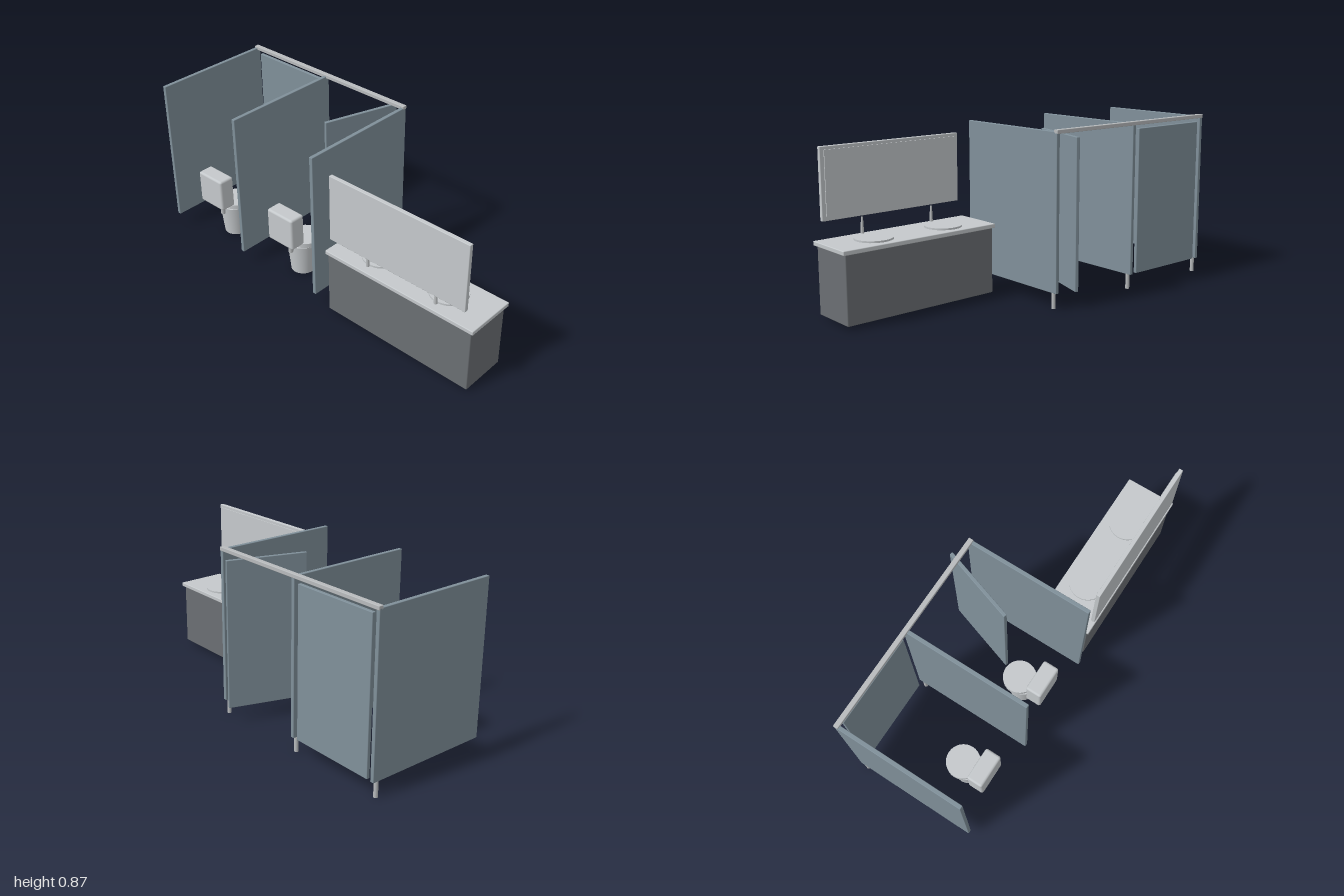
import * as THREE from 'three';
import { RoundedBoxGeometry } from 'three/addons/geometries/RoundedBoxGeometry.js';

const material = (name, color) => {
  const m = new THREE.MeshStandardMaterial({ color });
  m.name = name;
  return m;
};

export function createModel() {
  const root = new THREE.Group();
  root.name = 'restroom';
  const panel = material('blue grey panel', 0x80909a);
  const light = material('light grey', 0xc5c9cc);
  const metal = material('metal grey', 0xb8bbbd);
  const dark = material('dark grey cabinet', 0x6b6f73);

  const add = (parent, name, geometry, mat, x, y, z) => {
    const mesh = new THREE.Mesh(geometry, mat);
    mesh.name = name;
    mesh.position.set(x, y, z);
    parent.add(mesh);
    return mesh;
  };
  // Softly bevelled box given by its limits on each axis
  const box = (parent, name, mat, [x0, x1], [y0, y1], [z0, z1], bevel = 0.003) =>
    add(parent, name, new RoundedBoxGeometry(x1 - x0, y1 - y0, z1 - z0, 2, bevel), mat,
      (x0 + x1) / 2, (y0 + y1) / 2, (z0 + z1) / 2);
  // Upright round part given by its radii and height limits
  const round = (parent, name, mat, rTop, rBottom, [y0, y1], x, z, sides = 32) =>
    add(parent, name, new THREE.CylinderGeometry(rTop, rBottom, y1 - y0, sides), mat,
      x, (y0 + y1) / 2, z);

  // Stall partitions, each on a short leg
  const stalls = new THREE.Group();
  stalls.name = 'stalls';
  root.add(stalls);
  for (const x of [-0.99, -0.465, 0.06]) {
    box(stalls, 'partition', panel, [x - 0.01, x + 0.01], [0.078, 0.863], [-0.309, 0.354]);
    round(stalls, 'partitionLeg', metal, 0.0105, 0.0105, [0, 0.08], x, -0.282, 16);
  }
  box(stalls, 'topRail', metal, [-1, 0.07], [0.853, 0.873], [-0.313, -0.288]);

  // One closed door and one standing open
  box(stalls, 'closedDoor', panel, [-0.96, -0.5], [0.08, 0.835], [-0.309, -0.291]);
  const openDoor = box(stalls, 'openDoor', panel, [-0.2945, 0.1105], [0.08, 0.835], [-0.167, -0.149]);
  openDoor.rotation.y = THREE.MathUtils.degToRad(72);

  // Toilets
  for (const x of [-0.729, -0.205]) {
    const toilet = new THREE.Group();
    toilet.name = 'toilet';
    toilet.position.x = x;
    root.add(toilet);
    round(toilet, 'bowl', light, 0.08, 0.064, [0.006, 0.178], 0, 0.165);
    round(toilet, 'seat', light, 0.087, 0.087, [0.172, 0.202], 0, 0.147);
    round(toilet, 'flushPipe', metal, 0.012, 0.012, [0.148, 0.24], 0, 0.251, 16);
    box(toilet, 'tank', light, [-0.087, 0.087], [0.232, 0.41], [0.236, 0.322], 0.012);
  }

  // Washstand
  const washstand = new THREE.Group();
  washstand.name = 'washstand';
  root.add(washstand);
  box(washstand, 'cabinet', dark, [0.14, 0.985], [0.016, 0.352], [0.084, 0.332], 0.005);
  box(washstand, 'countertop', light, [0.13, 1], [0.351, 0.373], [0.073, 0.343], 0.004);
  for (const x of [0.361, 0.762]) {
    round(washstand, 'basin', light, 0.094, 0.094, [0.37, 0.382], x, 0.198, 40);
    round(washstand, 'faucet', metal, 0.005, 0.009, [0.372, 0.462], x, 0.297, 16);
  }

  // Mirror facing the basins
  box(washstand, 'mirrorFrame', light, [0.168, 0.955], [0.459, 0.809], [0.327, 0.348]);
  add(washstand, 'mirrorGlass', new THREE.BoxGeometry(0.745, 0.314, 0.007), light, 0.5615, 0.636, 0.3255);

  return root;
}
